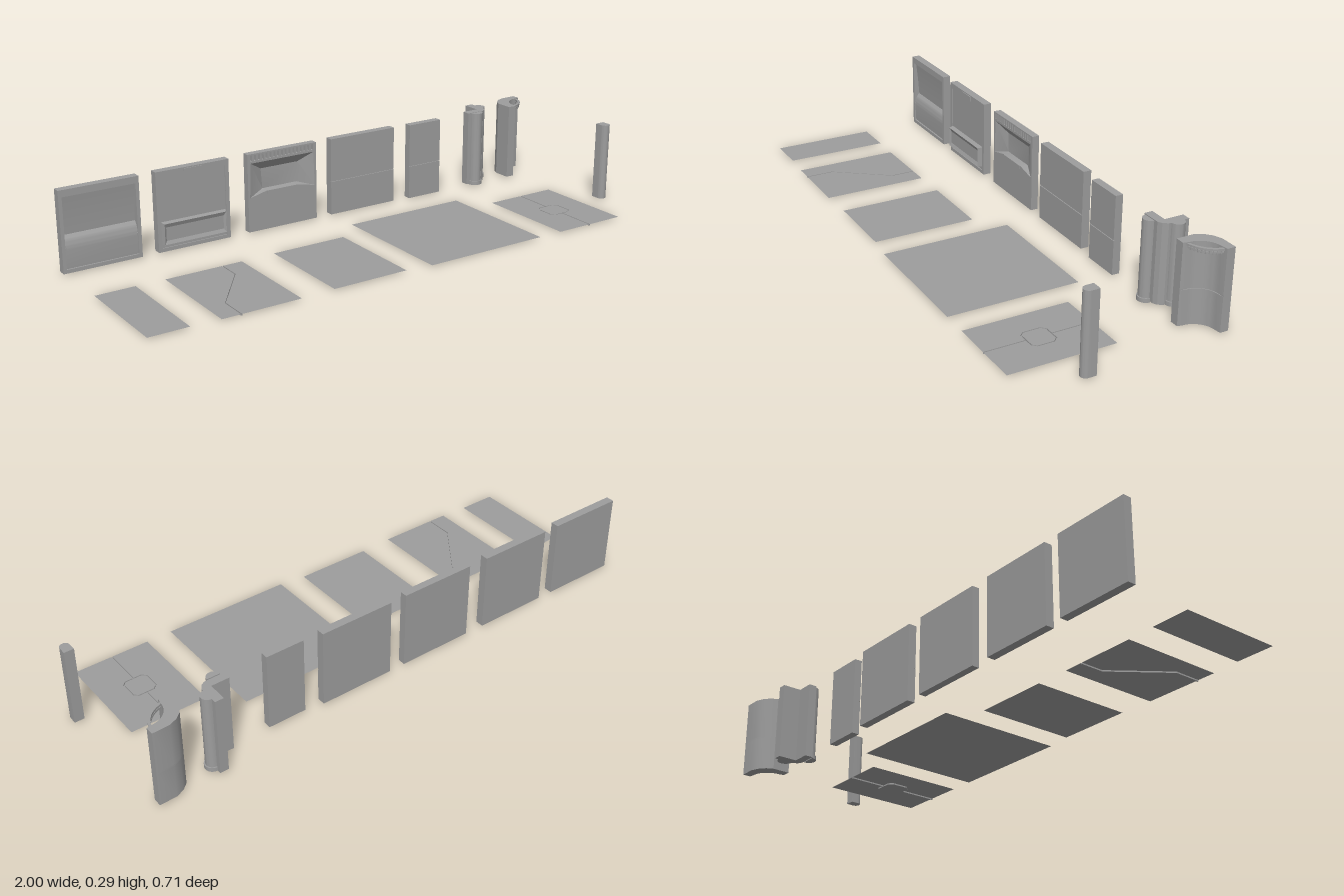
import * as THREE from 'three';
import { toCreasedNormals } from 'three/addons/utils/BufferGeometryUtils.js';

const mat = new THREE.MeshStandardMaterial({ color: 0x9d9d9d, side: THREE.DoubleSide });
const Y0 = 0.005, Y1 = 0.29;

function add(parent, name, geo) {
  const m = new THREE.Mesh(toCreasedNormals(geo, 0.4), mat);
  m.name = name;
  parent.add(m);
  return m;
}
function group(parent, name) {
  const g = new THREE.Group();
  g.name = name;
  parent.add(g);
  return g;
}
const shapeOf = pts => new THREE.Shape(pts.map(p => new THREE.Vector2(p[0], p[1])));
const rect = (x0, x1, y0, y1) => [[x0, y0], [x1, y0], [x1, y1], [x0, y1]];

// Box given by its limits
function box(parent, name, x0, x1, y0, y1, z0, z1) {
  add(parent, name, new THREE.BoxGeometry(x1 - x0, y1 - y0, z1 - z0))
    .position.set((x0 + x1) / 2, (y0 + y1) / 2, (z0 + z1) / 2);
}
// Plan outline of [x, z] points, extruded upwards
function column(parent, name, pts, y0, y1) {
  const s = shapeOf(pts.map(([x, z]) => [x, -z]));
  const g = new THREE.ExtrudeGeometry(s, { depth: y1 - y0, bevelEnabled: false });
  add(parent, name, g.rotateX(-Math.PI / 2).translate(0, y0, 0));
}
// Flat sheet from a plan outline
function sheet(parent, name, pts, y) {
  const s = shapeOf(pts.map(([x, z]) => [x, -z]));
  add(parent, name, new THREE.ShapeGeometry(s).rotateX(-Math.PI / 2).translate(0, y, 0));
}
// Upright slab with holes, from z0 to z1
function frame(parent, name, outer, holes, z0, z1) {
  const s = shapeOf(outer);
  s.holes.push(...holes.map(shapeOf));
  add(parent, name, new THREE.ExtrudeGeometry(s, { depth: z1 - z0, bevelEnabled: false }).translate(0, 0, z0));
}
// Sloping faces between two outlines at different depths, with an optional cap
function basin(parent, name, a, za, b, zb, cap = true) {
  const pos = [], n = a.length;
  const A = i => [...a[i % n], za], B = i => [...b[i % n], zb];
  for (let i = 0; i < n; i++) pos.push(...A(i), ...A(i + 1), ...B(i + 1), ...A(i), ...B(i + 1), ...B(i));
  if (cap) for (let i = 1; i < n - 1; i++) pos.push(...B(0), ...B(i), ...B(i + 1));
  const g = new THREE.BufferGeometry();
  g.setAttribute('position', new THREE.Float32BufferAttribute(pos, 3));
  add(parent, name, g);
}
const arc = (cx, cz, r, a0, a1, n) => Array.from({ length: n + 1 }, (_, i) => {
  const a = a0 + (a1 - a0) * i / n;
  return [cx + r * Math.cos(a), cz + r * Math.sin(a)];
});

// Floor sheet split by a groove between a left and a right [x, z] path
function groovedFloor(parent, name, x0, x1, z0, z1, left, right) {
  const g = group(parent, name);
  sheet(g, 'floorLeft', [[x0, z0], ...left, [x0, z1]], Y0);
  sheet(g, 'floorRight', [[x1, z0], ...right, [x1, z1]], Y0);
  sheet(g, 'grooveBottom', [...left, ...[...right].reverse()], 0);
  for (const path of [left, right]) {
    for (let i = 0; i < path.length - 1; i++) {
      const [ax, az] = path[i], [bx, bz] = path[i + 1];
      const wall = add(g, 'grooveSide', new THREE.PlaneGeometry(Math.hypot(bx - ax, bz - az), Y0));
      wall.position.set((ax + bx) / 2, Y0 / 2, (az + bz) / 2);
      wall.rotation.y = -Math.atan2(bz - az, bx - ax);
    }
  }
  return g;
}

// Plain wall of two plates with a seam between them
function seamWall(parent, name, x0, x1, z0, z1) {
  const g = group(parent, name);
  box(g, 'wallBack', x0, x1, Y0, Y1, z0, z1 - 0.004);
  box(g, 'lowerPlate', x0, x1, Y0, 0.129, z1 - 0.004, z1);
  box(g, 'upperPlate', x0, x1, 0.132, Y1, z1 - 0.004, z1);
}

function curvedPanelWall(parent) {
  const g = group(parent, 'curvedPanelWall');
  const x0 = -1, x1 = -0.72;
  box(g, 'wallBack', x0, x1, Y0, Y1, -0.28, -0.275);
  frame(g, 'wallFrame', rect(x0, x1, Y0, Y1), [rect(x0 + 0.012, x1 - 0.012, 0.018, 0.266)], -0.275, -0.25);
  // Panel profile in z and y: leaning in from the top, then curving out to the foot
  const s = new THREE.Shape();
  s.moveTo(-0.276, 0.018);
  s.lineTo(-0.256, 0.018);
  s.lineTo(-0.253, 0.085);
  s.quadraticCurveTo(-0.255, 0.12, -0.272, 0.131);
  s.quadraticCurveTo(-0.268, 0.2, -0.259, 0.266);
  s.lineTo(-0.276, 0.266);
  const panel = new THREE.ExtrudeGeometry(s, { depth: 0.256, bevelEnabled: false, curveSegments: 12 });
  add(g, 'curvedPanel', panel.rotateY(-Math.PI / 2).translate(x1 - 0.012, 0, 0));
  for (const x of [x0 + 0.012, x1 - 0.015]) box(g, 'panelClip', x, x + 0.003, 0.083, 0.093, -0.258, -0.25);
}

function consoleWall(parent) {
  const g = group(parent, 'consoleWall');
  const x0 = -0.66, x1 = -0.385;
  box(g, 'wallBack', x0, x1, Y0, Y1, -0.28, -0.254);
  frame(g, 'wallFrame', rect(x0, x1, Y0, Y1), [rect(x0 + 0.014, x1 - 0.014, 0.018, 0.268)], -0.254, -0.25);
  box(g, 'topTab', -0.555, -0.49, 0.268, 0.286, -0.25, -0.247);
  // Raised box with a sunken, sloping face
  const rim = rect(-0.642, -0.408, 0.034, 0.108);
  basin(g, 'consoleSides', rect(-0.648, -0.402, 0.031, 0.111), -0.254, rim, -0.235, false);
  basin(g, 'consoleFace', rim, -0.235, rect(-0.634, -0.416, 0.046, 0.094), -0.241);
}

function hopperWall(parent) {
  const g = group(parent, 'hopperWall');
  const x0 = -0.31, x1 = -0.03;
  const mouth = [[-0.303, 0.131], [-0.235, 0.147], [-0.112, 0.147], [-0.037, 0.131], [-0.042, 0.256], [-0.298, 0.256]];
  const back = [[-0.24, 0.15], [-0.225, 0.15], [-0.12, 0.15], [-0.1, 0.15], [-0.095, 0.224], [-0.245, 0.224]];
  // Grille slots above the mouth
  const slots = Array.from({ length: 17 }, (_, i) => {
    const x = -0.299 + i * 0.0155;
    return rect(x, x + 0.008, 0.264, 0.285);
  });
  box(g, 'wallBack', x0, x1, Y0, Y1, -0.279, -0.2765);
  frame(g, 'wallFront', rect(x0, x1, Y0, Y1), [mouth, ...slots], -0.2765, -0.252);
  basin(g, 'hopperRecess', mouth, -0.252, back, -0.276);
  box(g, 'ledge', -0.233, -0.114, 0.135, 0.147, -0.276, -0.25);
}

// L-shaped corner with two half-round columns
function outerCorner(parent) {
  const g = group(parent, 'columnCorner');
  column(g, 'cornerBody', [[0.66, -0.28], [0.725, -0.28], [0.725, -0.35], [0.756, -0.35], [0.756, -0.275],
    [0.745, -0.258], [0.73, -0.25], [0.66, -0.25]], Y0, Y1);
  for (const [x, z, a] of [[0.695, -0.246, 0], [0.756, -0.308, -Math.PI / 2]]) {
    column(g, 'halfColumn', arc(x, z, 0.024, a, a + Math.PI, 12), Y0, Y1);
    column(g, 'columnFoot', arc(x, z, 0.028, a, a + Math.PI, 12), Y0, 0.02);
  }
}

// Concave quarter corner with a bowed rail at the top
function innerCorner(parent) {
  const g = group(parent, 'concaveCorner');
  const outline = hollow => [[0.85, -0.235], [0.85, -0.3], [0.862, -0.324], [0.885, -0.344], [0.915, -0.356],
    [0.975, -0.357], [0.975, -0.327], ...arc(0.956, -0.254, hollow, -Math.PI / 2, -Math.PI, 12), [0.882, -0.235]];
  column(g, 'lowerBody', outline(0.07), Y0, 0.129);
  column(g, 'seam', outline(0.073), 0.129, 0.133);
  column(g, 'upperBody', outline(0.07), 0.133, Y1);
  const bow = inset => new THREE.QuadraticBezierCurve(
    new THREE.Vector2(0.882, -0.246 - inset), new THREE.Vector2(0.953 - inset, -0.262 - inset),
    new THREE.Vector2(0.967 - inset, -0.33)).getPoints(10).map(p => [p.x, p.y]);
  const rail = (a, b) => [...bow(a), ...bow(b).reverse()];
  column(g, 'topRail', rail(0, 0.009), 0.28, 0.287);
  column(g, 'middleRail', rail(0.003, 0.009), 0.271, 0.277);
  for (const [x, z] of bow(0.005).slice(1, -1))
    box(g, 'railPost', x - 0.002, x + 0.002, 0.268, 0.282, z - 0.002, z + 0.002);
}

export function createModel() {
  const model = new THREE.Group();
  model.name = 'wallAndFloorKit';

  // Walls
  curvedPanelWall(model);
  consoleWall(model);
  hopperWall(model);
  seamWall(model, 'plainWall', 0.032, 0.309, -0.28, -0.25);
  seamWall(model, 'narrowWall', 0.375, 0.516, -0.268, -0.24);
  outerCorner(model);
  innerCorner(model);

  // Plain floors
  sheet(model, 'narrowFloor', rect(-0.99, -0.85, -0.03, 0.345), Y0);
  sheet(model, 'plainFloor', rect(-0.342, -0.062, -0.03, 0.345), Y0);
  sheet(model, 'largeFloor', rect(0.033, 0.505, -0.118, 0.357), Y0);

  // Floor with a stepped groove
  const w = 0.002;
  const step = [[-0.54, -0.027], [-0.54, 0.06], [-0.68, 0.25], [-0.68, 0.351]];
  groovedFloor(model, 'steppedGrooveFloor', -0.748, -0.467, -0.027, 0.351,
    step.map(([x, z]) => [x - w, z]), step.map(([x, z]) => [x + w, z]));

  // Floor with a groove around a hatch with cut corners
  const cx = 0.738, cz = 0.167, r = 0.046, k = 0.031;
  const side = s => [[w, -0.188], [w, -r], [k, -r], [r, -k], [r, k], [k, r], [w, r], [w, 0.19]]
    .map(([x, z]) => [cx + s * x, cz + z]);
  const hatchFloor = groovedFloor(model, 'hatchFloor', 0.599, 0.879, cz - 0.188, cz + 0.19, side(-1), side(1));
  const q = r - 2 * w, j = k - w;
  column(hatchFloor, 'hatch', [[j, -q], [q, -j], [q, j], [j, q], [-j, q], [-q, j], [-q, -j], [-j, -q]]
    .map(([x, z]) => [cx + x, cz + z]), 0, Y0);

  // Free-standing round-fronted pillar
  column(model, 'pillar', [[0.965, 0.13], [1, 0.13], ...arc(0.9825, 0.158, 0.0175, 0, Math.PI, 12)], Y0, Y1);

  return model;
}
